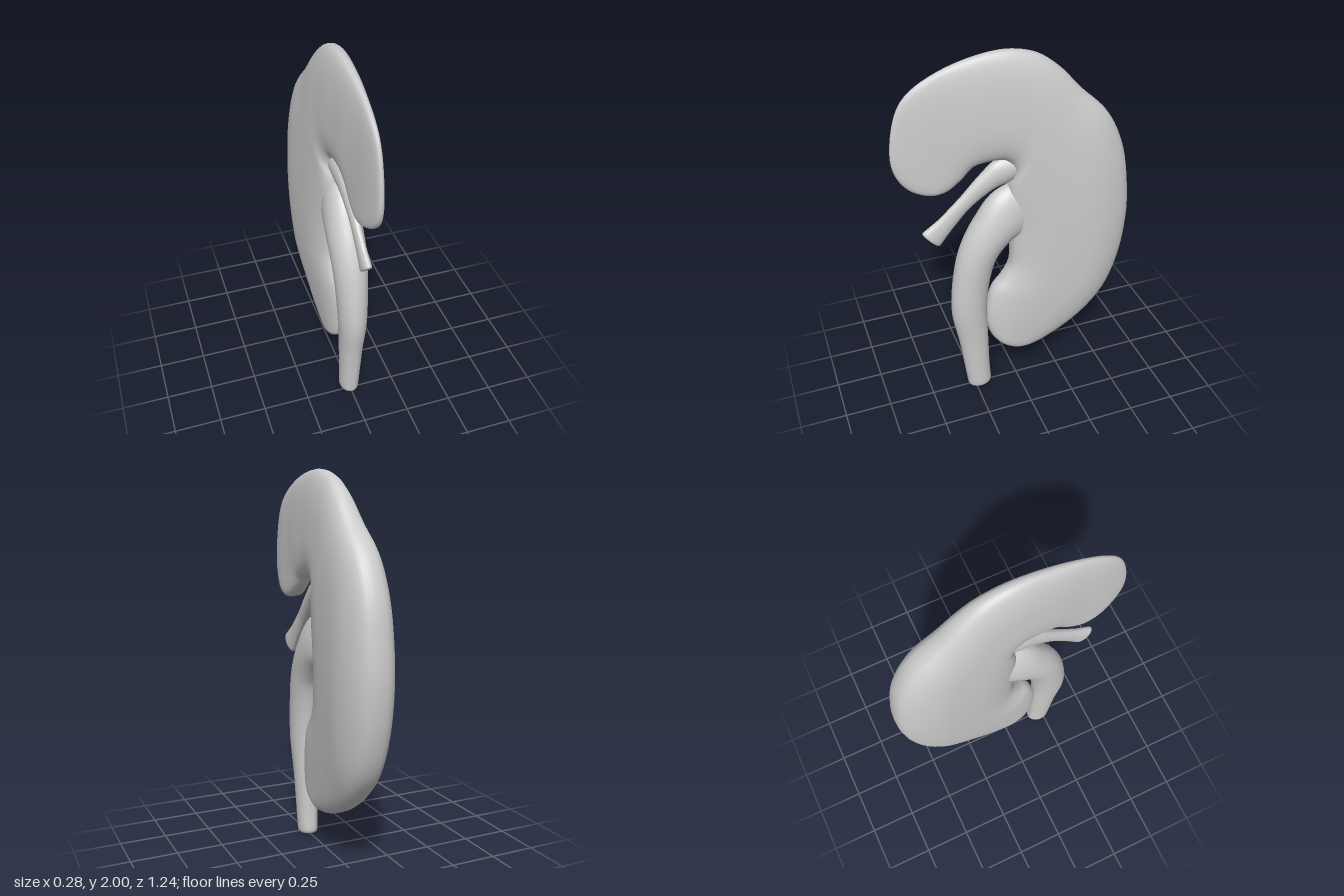
import * as THREE from 'three';
import { toCreasedNormals } from 'three/addons/utils/BufferGeometryUtils.js';

const SIDES = 40;
const material = new THREE.MeshStandardMaterial({ color: 0xcccccc });

// Skin a list of closed rings, each an array of SIDES points
function loft(rings) {
  const positions = rings.flat().flatMap((p) => [p.x, p.y, p.z]);
  const index = [];
  for (let i = 0; i < rings.length - 1; i++) {
    for (let j = 0; j < SIDES; j++) {
      const k = (j + 1) % SIDES;
      const a = i * SIDES + j, b = i * SIDES + k;
      index.push(a, b, a + SIDES, b, b + SIDES, a + SIDES);
    }
  }
  const geometry = new THREE.BufferGeometry();
  geometry.setAttribute('position', new THREE.Float32BufferAttribute(positions, 3));
  geometry.setIndex(index);
  geometry.computeVertexNormals();
  return geometry;
}

function makeMesh(name, geometry) {
  const mesh = new THREE.Mesh(geometry, material);
  mesh.name = name;
  return mesh;
}

// Smooth curve through [z, y] points
const curveZY = (points) =>
  new THREE.CatmullRomCurve3(points.map(([z, y]) => new THREE.Vector3(0, y, z)), false, 'centripetal');

// Half thickness of the body: full at the back, thin at the front, slimmer to top and bottom
const THICKNESS = [[-0.62, 0.135], [-0.4, 0.143], [-0.2, 0.125], [0, 0.108], [0.2, 0.085], [0.4, 0.056], [0.63, 0.032]];
function halfThickness(z, y) {
  let i = 0;
  while (i < THICKNESS.length - 2 && z > THICKNESS[i + 1][0]) i++;
  const [z0, t0] = THICKNESS[i], [z1, t1] = THICKNESS[i + 1];
  const t = THREE.MathUtils.lerp(t0, t1, THREE.MathUtils.smoothstep(z, z0, z1) * 0.4 + THREE.MathUtils.clamp((z - z0) / (z1 - z0), 0, 1) * 0.6);
  return t * (1 - 0.3 * ((y - 1.05) / 0.8) ** 2);
}

// Bean-shaped body: sections spanning from the inner edge to the outer edge
function bodyGeometry() {
  const outer = curveZY([
    [0.44, 1.315], [0.55, 1.37], [0.61, 1.47], [0.615, 1.62], [0.55, 1.82], [0.38, 1.935], [0.08, 2],
    [-0.1, 1.965], [-0.22, 1.88], [-0.33, 1.76], [-0.48, 1.61], [-0.57, 1.42], [-0.61, 1.2], [-0.62, 1],
    [-0.59, 0.75], [-0.52, 0.55], [-0.4, 0.4], [-0.25, 0.29], [-0.08, 0.225], [0.06, 0.245]]);
  const inner = curveZY([
    [0.44, 1.315], [0.35, 1.335], [0.28, 1.385], [0.22, 1.44], [0.16, 1.45], [0.1, 1.45], [0.06, 1.44],
    [0.03, 1.41], [0.02, 1.36], [0.04, 1.3], [0.05, 1.22], [0.04, 1.1], [0.03, 1], [0.03, 0.92],
    [0.04, 0.8], [0.08, 0.73], [0.14, 0.66], [0.175, 0.5], [0.15, 0.35], [0.06, 0.245]]);
  const rings = [];
  const steps = 114;
  for (let i = 0; i <= steps; i++) {
    const o = outer.getPoint(i / steps), n = inner.getPoint(i / steps);
    const centre = o.clone().add(n).multiplyScalar(0.5);
    const half = o.clone().sub(n).multiplyScalar(0.5);
    // Round off the two tips
    const tip = Math.sqrt(1 - (1 - Math.min(1, half.length() / 0.16)) ** 2);
    const ring = [];
    for (let j = 0; j < SIDES; j++) {
      const a = (j / SIDES) * Math.PI * 2, c = Math.cos(a), s = Math.sin(a);
      const p = centre.clone().addScaledVector(half, Math.sign(c) * Math.abs(c) ** 0.75);
      p.x = Math.sign(s) * Math.abs(s) ** 0.75 * halfThickness(p.z, p.y) * tip;
      ring.push(p);
    }
    rings.push(ring);
  }
  return loft(rings);
}

// Oval tube with a bevelled closed end; stations are [z, y, radius in plane, radius in x]
function ductGeometry(stations) {
  const path = curveZY(stations);
  const radii = new THREE.CatmullRomCurve3(stations.map((s) => new THREE.Vector3(s[2], s[3], 0)));
  const rings = [];
  const addRing = (t, scale) => {
    const centre = path.getPoint(t), d = path.getTangent(t), r = radii.getPoint(t);
    const side = new THREE.Vector3(0, -d.z, d.y);
    rings.push(Array.from({ length: SIDES }, (_, j) => {
      const a = (j / SIDES) * Math.PI * 2;
      const p = centre.clone().addScaledVector(side, Math.cos(a) * r.x * scale);
      p.x = Math.sin(a) * r.y * scale;
      return p;
    }));
  };
  addRing(0, 0.001);
  for (let i = 0; i <= 48; i++) addRing((i / 48) * 0.985, 1);
  addRing(0.995, 0.95);
  addRing(1, 0.86);
  addRing(1, 0.001);
  return toCreasedNormals(loft(rings), 0.7);
}

export function createModel() {
  const group = new THREE.Group();
  group.name = 'kidney';
  group.add(makeMesh('body', bodyGeometry()));
  // Wide funnel leaving the hollow and narrowing down to the floor
  group.add(makeMesh('ureter', ductGeometry([
    [-0.07, 1.17, 0.14, 0.06], [0.03, 1.13, 0.15, 0.085], [0.12, 1.05, 0.122, 0.095], [0.205, 0.92, 0.105, 0.092],
    [0.25, 0.75, 0.1, 0.083], [0.268, 0.55, 0.097, 0.075], [0.25, 0.35, 0.083, 0.064],
    [0.235, 0.15, 0.072, 0.057], [0.222, 0.004, 0.067, 0.053]])));
  // Thin branch flaring at its free end
  group.add(makeMesh('vessel', ductGeometry([
    [-0.03, 1.4, 0.06, 0.05], [0.07, 1.375, 0.072, 0.046], [0.15, 1.33, 0.056, 0.036],
    [0.28, 1.22, 0.041, 0.024], [0.37, 1.13, 0.047, 0.023], [0.455, 1.05, 0.064, 0.027]])));
  return group;
}
